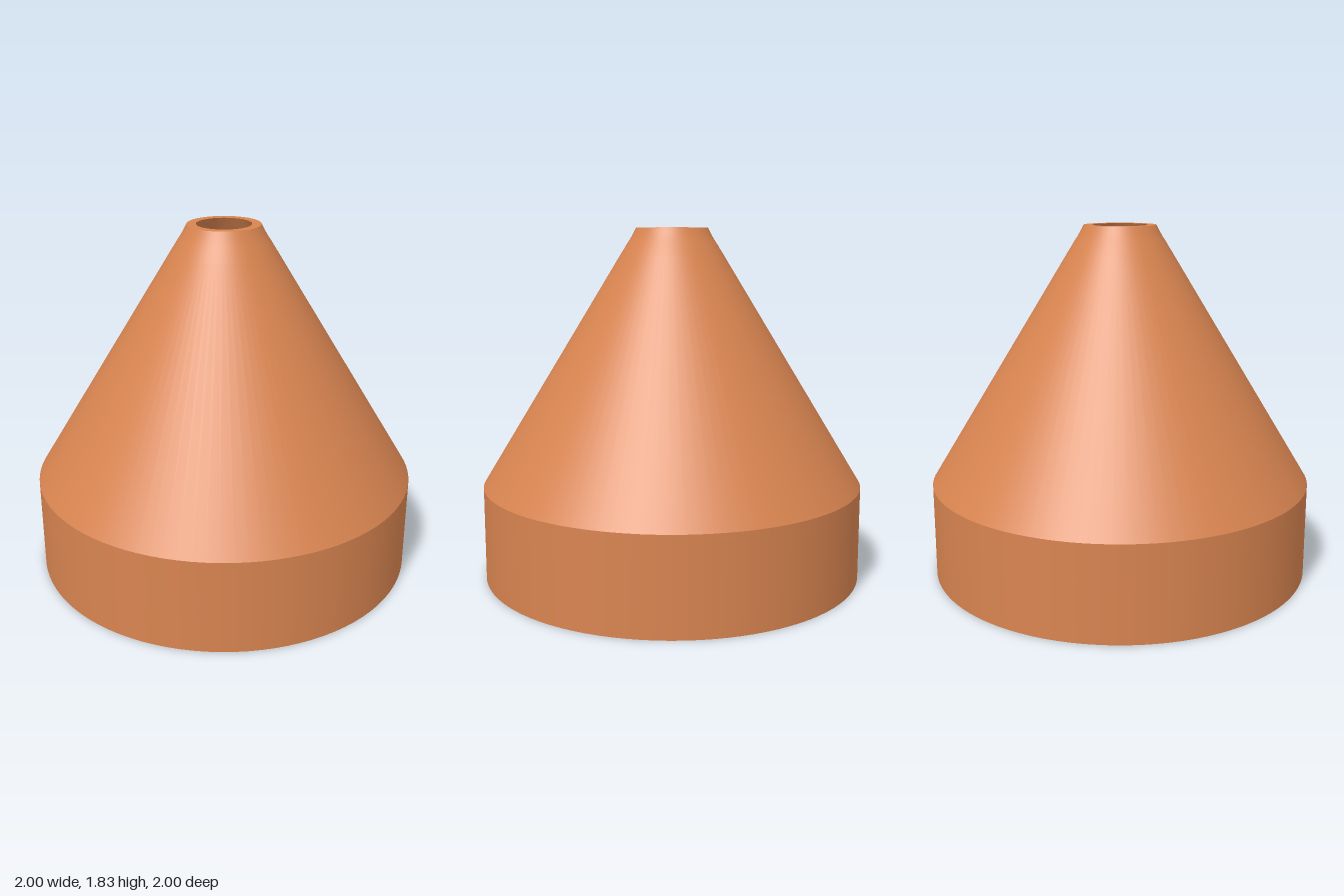
import * as THREE from 'three';

export function createModel() {
  const group = new THREE.Group();
  const copper = new THREE.MeshStandardMaterial({ color: 0xd88450 });
  copper.name = 'copper orange';

  // Each surface is its own lathe, so the edges between them stay sharp.
  const ring = (name, points) => {
    const profile = points.map(([r, y]) => new THREE.Vector2(r, y));
    const mesh = new THREE.Mesh(new THREE.LatheGeometry(profile, 96), copper);
    mesh.name = name;
    group.add(mesh);
  };

  const wall = 0.02, shoulder = 0.49, top = 1.825, hole = 0.14;

  // Outside, from the bottom upward
  ring('outerSkirt', [[1, 0], [1, shoulder]]);
  ring('outerCone', [
    [1, shoulder], [0.27, 1.685], [0.25, 1.717], [0.235, 1.742],
    [0.22, 1.764], [0.205, 1.79], [0.187, top],
  ]);
  ring('topRim', [[0.187, top], [hole, top]]);

  // Inside, from the hole downward
  ring('innerCone', [[hole, top], [1 - wall, shoulder - 0.01]]);
  ring('innerSkirt', [[1 - wall, shoulder - 0.01], [1 - wall, 0]]);
  ring('bottomRim', [[1 - wall, 0], [1, 0]]);

  return group;
}
